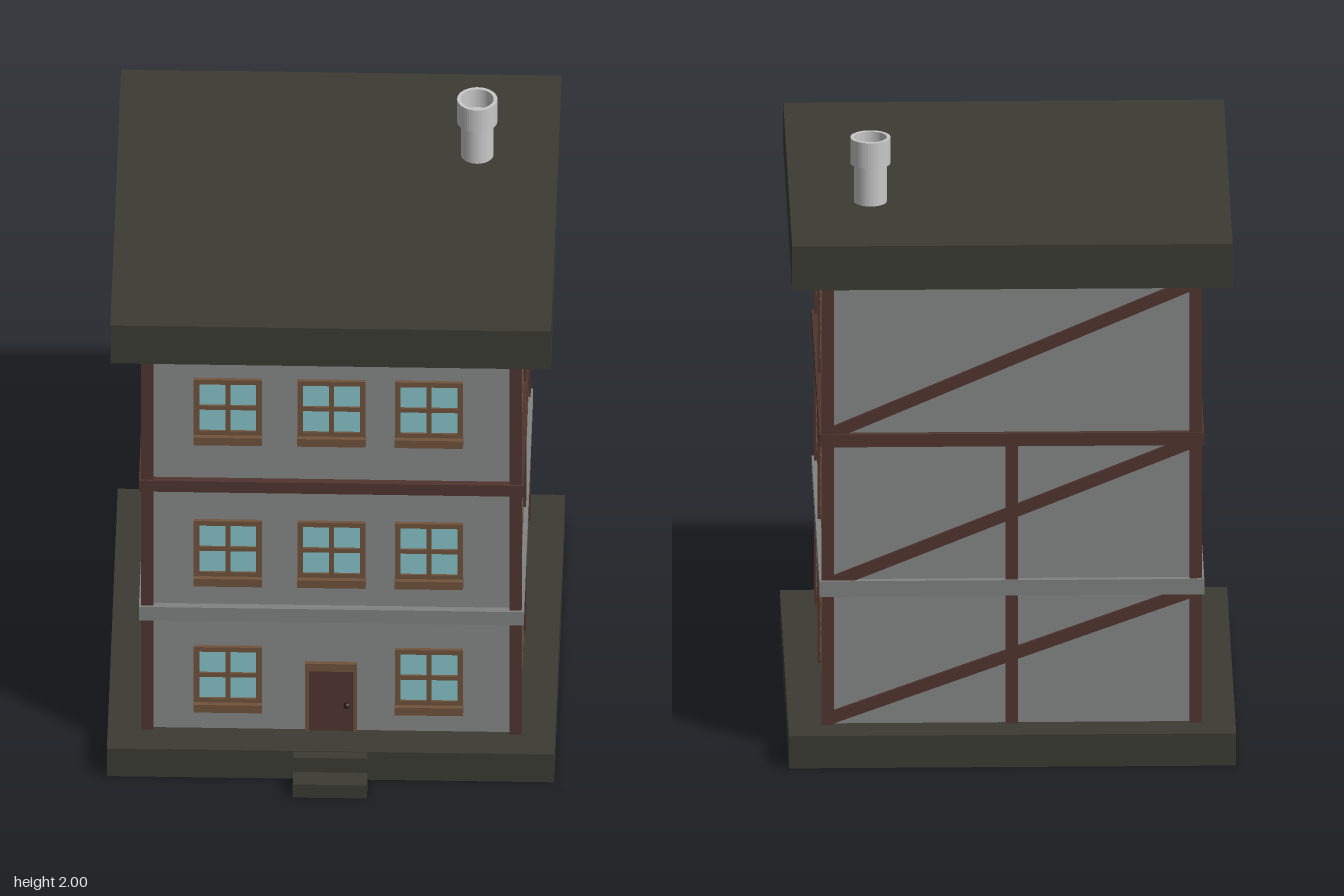
import * as THREE from 'three';

const mat = (name, color) => {
  const m = new THREE.MeshStandardMaterial({ color });
  m.name = name;
  return m;
};

export function createModel() {
  const slate = mat('dark slate', 0x3b3b34);
  const plaster = mat('grey plaster', 0x868887);
  const stone = mat('belt stone', 0x808381);
  const timber = mat('dark timber', 0x50352f);
  const wood = mat('window wood', 0x70543d);
  const glass = mat('pale blue glass', 0x88c4ca);
  const metal = mat('light chimney', 0xc8c8c8);
  const iron = mat('dark iron', 0x2a1d1a);

  const house = new THREE.Group();
  house.name = 'house';

  const add = (name, geometry, material, parent = house) => {
    const mesh = new THREE.Mesh(geometry, material);
    mesh.name = name;
    parent.add(mesh);
    return mesh;
  };
  // Box given by its extents on each axis
  const block = (name, material, [x0, x1], [y0, y1], [z0, z1], parent = house) => {
    const mesh = add(name, new THREE.BoxGeometry(x1 - x0, y1 - y0, z1 - z0), material, parent);
    mesh.position.set((x0 + x1) / 2, (y0 + y1) / 2, (z0 + z1) / 2);
    return mesh;
  };

  // Base slab, entrance steps, walls and flat roof
  block('base', slate, [-0.723, 0.723], [0, 0.11], [-0.775, 0.672]);
  block('upperStep', slate, [-0.12, 0.12], [0, 0.108], [0.66, 0.707]);
  block('lowerStep', slate, [-0.12, 0.12], [0, 0.052], [0.66, 0.777]);
  block('walls', plaster, [-0.6, 0.6], [0.11, 1.63], [-0.65, 0.55]);
  block('roof', slate, [-0.712, 0.712], [1.63, 1.78], [-0.765, 0.662]);

  // Corner posts and the middle post of each side wall
  for (const s of [-1, 1]) {
    for (const z of [0.545, -0.033, -0.645]) {
      const post = block('wallPost', timber, [-0.02, 0.02], [0.11, 1.63], [z - 0.02, z + 0.02]);
      post.position.x = s * 0.595;
    }
  }

  // Belts around each storey
  block('upperBelt', timber, [-0.622, 0.622], [1.06, 1.103], [-0.67, 0.573]);
  block('lowerBelt', stone, [-0.622, 0.622], [0.55, 0.603], [-0.672, 0.574]);

  // Back timbering: middle post on two storeys, a brace on each
  block('backPost', timber, [-0.02, 0.02], [0.11, 1.07], [-0.665, -0.64]);
  for (const [y0, y1] of [[0.13, 0.56], [0.59, 1.07], [1.1, 1.61]]) {
    const w = 1.18, h = y1 - y0;
    const brace = add('backBrace', new THREE.BoxGeometry(Math.hypot(w, h), 0.04, 0.022), timber);
    brace.position.set(0, (y0 + y1) / 2, -0.652);
    brace.rotation.z = -Math.atan2(h, w); // rises toward -x
  }

  // Four-pane window frame
  const rect = (P, x0, x1, y0, y1) => new P(
    [[x0, y0], [x1, y0], [x1, y1], [x0, y1]].map(([x, y]) => new THREE.Vector2(x, y)));
  const frameShape = rect(THREE.Shape, -0.11, 0.11, -0.11, 0.11);
  for (const x of [-0.05, 0.05]) {
    for (const y of [-0.05, 0.05]) {
      frameShape.holes.push(rect(THREE.Path, x - 0.042, x + 0.042, y - 0.042, y + 0.042));
    }
  }
  const frameGeo = new THREE.ExtrudeGeometry(frameShape, { depth: 0.012, bevelEnabled: false });
  const paneGeo = new THREE.BoxGeometry(0.2, 0.2, 0.006);

  const addWindow = (x, y, z, turn, sill) => {
    const win = new THREE.Group();
    win.name = 'window';
    add('windowFrame', frameGeo, wood, win);
    add('windowGlass', paneGeo, glass, win).position.z = 0.002;
    if (sill) block('windowSill', wood, [-0.111, 0.111], [-0.138, -0.108], [0, 0.028], win);
    win.position.set(x, y, z);
    win.rotation.y = turn;
    house.add(win);
  };

  // Front windows, leaving the lower middle for the door
  for (const y of [0.328, 0.828, 1.388]) {
    for (const x of [-0.335, 0, 0.315]) {
      if (x !== 0 || y > 0.5) addWindow(x, y, 0.55, 0, true);
    }
  }
  // Side windows
  for (const s of [-1, 1]) {
    for (const y of [0.33, 0.825, 1.358]) {
      for (const z of [0.275, -0.358]) addWindow(s * 0.6, y, z, s * Math.PI / 2, false);
    }
  }

  // Door with surround and knob
  block('door', timber, [-0.074, 0.072], [0.11, 0.352], [0.54, 0.556]);
  block('doorJamb', wood, [-0.085, -0.073], [0.11, 0.352], [0.54, 0.562]);
  block('doorJamb', wood, [0.071, 0.083], [0.11, 0.352], [0.54, 0.562]);
  block('doorHeader', wood, [-0.085, 0.083], [0.35, 0.38], [0.54, 0.565]);
  add('doorKnob', new THREE.SphereGeometry(0.011, 12, 8), iron).position.set(0.05, 0.217, 0.565);

  // Chimney: narrow pipe with a wider hollow collar
  const pipe = add('chimneyPipe', new THREE.CylinderGeometry(0.053, 0.053, 0.16, 24), metal);
  pipe.position.set(0.45, 1.85, -0.32);
  const ring = new THREE.Shape().absarc(0, 0, 0.065, 0, Math.PI * 2);
  ring.holes.push(new THREE.Path().absarc(0, 0, 0.053, 0, Math.PI * 2, true));
  const collar = add('chimneyCollar',
    new THREE.ExtrudeGeometry(ring, { depth: 0.088, bevelEnabled: false, curveSegments: 24 }), metal);
  collar.rotation.x = -Math.PI / 2;
  collar.position.set(0.45, 1.912, -0.32);

  return house;
}
